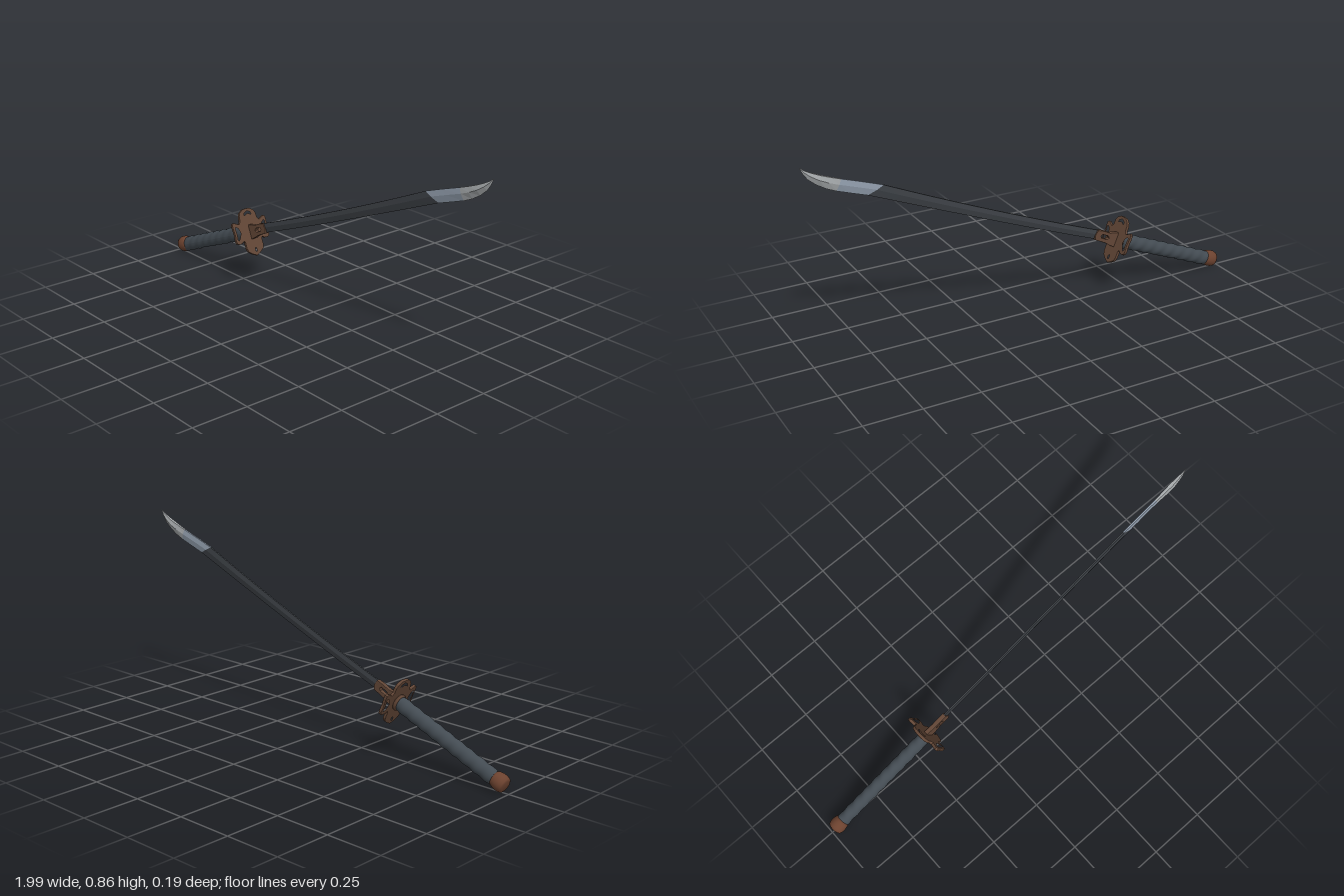
import * as THREE from 'three';

const mat = (name, color) => {
  const m = new THREE.MeshStandardMaterial({ color });
  m.name = name;
  return m;
};

// Lofts a blade along x through sections [xTop, xEdge, top, edge, halfThickness]
function loftBlade(sections) {
  const rings = sections.map(([xt, xe, top, edge, h]) => {
    const at = (f, z) => [xt + (xe - xt) * f, top + (edge - top) * f, z];
    return [at(0, h * 0.6), at(0.45, h), at(1, 0), at(0.45, -h), at(0, -h * 0.6)];
  });
  const pos = [];
  const tri = (...p) => p.forEach((v) => pos.push(...v));
  for (let i = 0; i < rings.length - 1; i++) {
    for (let j = 0; j < 5; j++) {
      const k = (j + 1) % 5;
      const a = rings[i][j], b = rings[i][k], c = rings[i + 1][k], d = rings[i + 1][j];
      tri(a, b, c);
      tri(a, c, d);
    }
  }
  const s = rings[0], e = rings[rings.length - 1];
  for (let j = 1; j < 4; j++) {
    tri(s[0], s[j + 1], s[j]);
    tri(e[0], e[j], e[j + 1]);
  }
  const g = new THREE.BufferGeometry();
  g.setAttribute('position', new THREE.Float32BufferAttribute(pos, 3));
  g.computeVertexNormals();
  return g;
}

const vecs = (pts) => pts.map(([x, y]) => new THREE.Vector2(x, y));
const mirrorX = (pts) => pts.map(([x, y]) => [-x, y]).reverse();

export function createModel() {
  const wrap = mat('slateWrap', 0x434b52);
  const iron = mat('darkBlade', 0x3c4045);
  const brown = mat('bronzeBrown', 0x624636);
  const rust = mat('rustBrown', 0x6c422f);
  const steel = mat('blueSteel', 0x909cab);
  const bright = mat('brightSteel', 0xa6aaac);

  const model = new THREE.Group();
  const sword = new THREE.Group(); // x runs along the sword, origin at the guard
  sword.name = 'sword';
  sword.position.set(-0.4375, 0.2475, 0);
  sword.rotation.z = THREE.MathUtils.degToRad(22.3);
  model.add(sword);
  const add = (name, geometry, material) => {
    const m = new THREE.Mesh(geometry, material);
    m.name = name;
    sword.add(m);
    return m;
  };

  // Wrapped grip: oval tube with a shallow spiral ripple
  const grip = new THREE.CylinderGeometry(1, 1, 0.55, 28, 100, true);
  grip.rotateZ(-Math.PI / 2);
  const p = grip.attributes.position;
  for (let i = 0; i < p.count; i++) {
    const x = p.getX(i), a = Math.atan2(p.getZ(i), p.getY(i));
    const r = 1 + 0.045 * Math.sin(x * 110 + a * 2);
    p.setXYZ(i, x - 0.28, 0.004 + Math.cos(a) * 0.033 * r, Math.sin(a) * 0.028 * r);
  }
  grip.computeVertexNormals();
  add('grip', grip, wrap);

  // Pommel cap and the collar behind the guard
  const turned = (pts) => new THREE.LatheGeometry(vecs(pts), 32).rotateZ(-Math.PI / 2);
  const pommel = add('pommel', turned([
    [0, -0.59], [0.024, -0.589], [0.033, -0.584], [0.037, -0.572],
    [0.037, -0.553], [0.034, -0.54], [0.032, -0.533], [0.026, -0.531],
  ]), rust);
  pommel.position.y = 0.007;
  pommel.scale.z = 0.96;
  const collar = add('collar', turned([
    [0, -0.022], [0.033, -0.022], [0.037, -0.017], [0.037, -0.005], [0, -0.005],
  ]), brown);
  collar.position.y = 0.004;
  collar.scale.z = 0.88;

  // Guard: lobed plate with pierced wings
  const half = [
    [0.02, 0.108], [0.038, 0.096], [0.045, 0.082], [0.047, 0.058], [0.056, 0.047],
    [0.07, 0.053], [0.084, 0.06], [0.092, 0.055], [0.093, 0.04], [0.09, 0.005],
    [0.093, -0.022], [0.09, -0.034], [0.08, -0.04], [0.064, -0.038], [0.052, -0.03],
    [0.046, -0.036], [0.046, -0.068], [0.04, -0.084], [0.022, -0.097],
  ];
  const plate = new THREE.Shape(vecs([[0, 0.11], ...half, [0, -0.107], ...mirrorX(half)]));
  const wing = [
    [0.066, 0.032], [0.079, 0.042], [0.084, 0.036], [0.081, 0.005],
    [0.084, -0.02], [0.077, -0.024], [0.067, -0.012], [0.058, 0.009],
  ];
  const crescent = [
    [-0.022, 0.078], [-0.018, 0.092], [0, 0.101], [0.018, 0.092], [0.022, 0.078], [0, 0.087],
  ];
  const slot = [[0, -0.07], [0.005, -0.075], [0.005, -0.088], [0, -0.093], [-0.005, -0.088], [-0.005, -0.075]];
  plate.holes = [wing, mirrorX(wing), crescent, slot].map((h) => new THREE.Path(vecs(h)));
  const guard = new THREE.ExtrudeGeometry(plate, {
    depth: 0.008, bevelEnabled: true, bevelThickness: 0.003, bevelSize: 0.002, bevelOffset: -0.001, bevelSegments: 2,
  });
  guard.translate(0, 0, -0.004).rotateY(Math.PI / 2);
  add('guard', guard, brown);

  // Forked blade collar in front of the guard
  const fork = new THREE.Shape(vecs([
    [0, -0.031], [0.03, -0.027], [0.06, -0.02], [0.118, -0.016],
    [0.124, 0.004], [0.118, 0.028], [0.085, 0.03], [0.05, 0.027], [0.025, 0.034], [0, 0.036],
  ]));
  fork.holes = [new THREE.Path(vecs([
    [0.046, 0.004], [0.056, 0.014], [0.088, 0.015], [0.094, 0.006], [0.088, -0.003], [0.056, -0.005],
  ]))];
  const forkGeo = new THREE.ExtrudeGeometry(fork, {
    depth: 0.014, bevelEnabled: true, bevelThickness: 0.003, bevelSize: 0.003, bevelOffset: -0.002, bevelSegments: 2,
  });
  add('bladeCollar', forkGeo.translate(0, 0, -0.007), brown);

  // Blade: dark body with a slight bow, then a polished point
  const body = [];
  for (let i = 0; i <= 10; i++) {
    const u = i / 10, x = 0.1 + u * 1.1;
    const c = 0.007 - 0.036 * u * (1 - u);
    body.push([x, x + 0.05 * u, c + 0.022, c - 0.021 - 0.012 * u * u * u, 0.006]);
  }
  add('bladeBody', loftBlade(body), iron);
  add('bladeSteel', loftBlade([
    [1.2, 1.25, 0.029, -0.026, 0.006],
    [1.29, 1.32, 0.024, -0.031, 0.006],
    [1.385, 1.385, 0.017, -0.035, 0.007],
  ]), steel);
  add('bladePoint', loftBlade([
    [1.385, 1.385, 0.017, -0.035, 0.007],
    [1.43, 1.43, 0.015, -0.034, 0.010],
    [1.475, 1.475, 0.014, -0.027, 0.012],
    [1.51, 1.515, 0.015, -0.014, 0.009],
    [1.54, 1.542, 0.018, 0.003, 0.005],
    [1.563, 1.563, 0.024, 0.022, 0.0005],
  ]), bright);

  return model;
}
